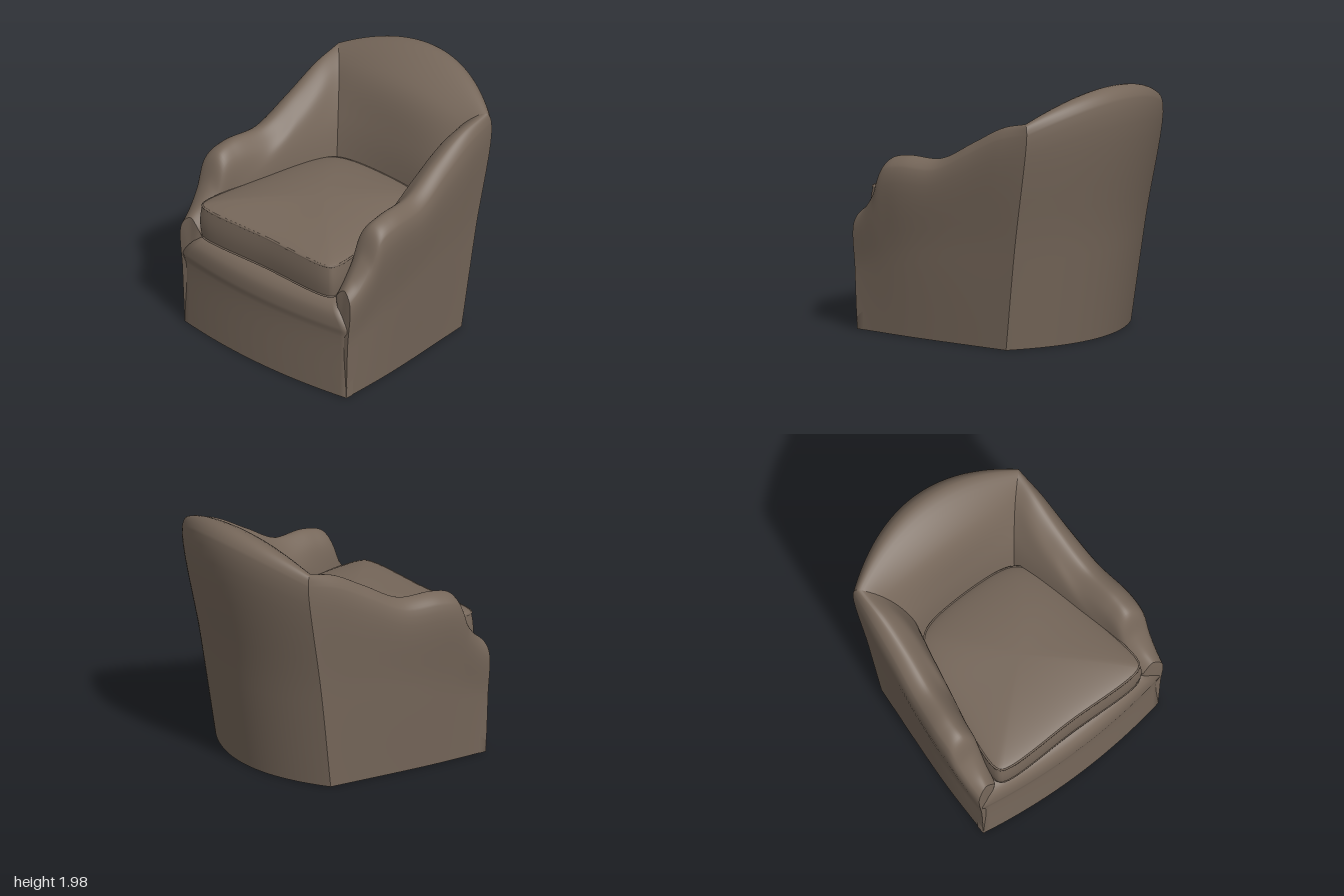
import * as THREE from 'three';
import { mergeVertices } from 'three/addons/utils/BufferGeometryUtils.js';

const fabric = new THREE.MeshStandardMaterial({ color: 0x76675a, side: THREE.DoubleSide });
fabric.name = 'brownFabric';

const V = (x, y, z) => new THREE.Vector3(x, y, z);
const rail = (...pts) => {
  const c = new THREE.CatmullRomCurve3(pts.map((p) => V(...p)));
  return (t) => c.getPoint(t);
};

// smooth surface sampled from fn(u, v) => Vector3
function grid(fn, nu, nv, mirror = false) {
  const pos = [], idx = [];
  for (let i = 0; i <= nu; i++)
    for (let j = 0; j <= nv; j++) {
      const p = fn(i / nu, j / nv);
      pos.push(mirror ? -p.x : p.x, p.y, p.z);
    }
  for (let i = 0; i < nu; i++)
    for (let j = 0; j < nv; j++) {
      const a = i * (nv + 1) + j, b = a + nv + 1;
      if (mirror) idx.push(a, b + 1, b, a, a + 1, b + 1);
      else idx.push(a, b, b + 1, a, b + 1, a + 1);
    }
  let g = new THREE.BufferGeometry();
  g.setAttribute('position', new THREE.Float32BufferAttribute(pos, 3));
  g.setIndex(idx);
  g = mergeVertices(g, 1e-5);
  g.computeVertexNormals();
  return g;
}

// cross-section through a set of lengthwise rails, and the skin over them
const section = (rails, t) => new THREE.CatmullRomCurve3(rails.map((r) => r(t)));
function skin(rails, nu, nv, mirror = false) {
  const rows = Array.from({ length: nu + 1 }, (_, i) => section(rails, i / nu));
  return grid((u, v) => rows[Math.round(u * nu)].getPoint(v), nu, nv, mirror);
}

// arm rails run from the front to the back corner; the roll follows the crest
const crest = rail([.8, .91, .9], [.79, .99, .81], [.79, 1.13, .71], [.8, 1.345, .61], [.8, 1.395, .45],
  [.77, 1.405, .15], [.755, 1.56, -.15], [.76, 1.715, -.45], [.77, 1.775, -.69]);
const armRails = [
  rail([.84, 0, .92], [.82, 0, .42], [.73, 0, -.46]),
  rail([.858, .45, .925], [.872, .65, .42], [.765, .8, -.575]),
  (t) => crest(t).add(V(.075 + .23 * t - .28 * t * t, -.08, .02 - .05 * t)),
  crest,
  (t) => crest(t).add(V(-.085 - .055 * t * t, -.075 - .03 * t * t, .14 * t ** 4)),
  rail([.7, .78, .88], [.64, 1.1, .45], [.49, 1.33, -.39]),
  rail([.69, .7, .86], [.62, .7, .43], [.42, .7, -.29]),
];

// back rails bow from corner to corner through these centre points [y, z]
const backCentre = [[0, -.7], [.8, -.825], [1.88, -.99], [1.975, -.885], [1.77, -.56], [1.38, -.42], [.7, -.34]];
const backRails = backCentre.map(([y, z], i) => (t) => {
  const s = 1 - 2 * t, c = armRails[i](1);
  return V(c.x * s, y + (c.y - y) * s * s, z + (c.z - z) * s * s);
});

// flat panel closing the front end of an arm
function armFront(mirror) {
  const edge = section(armRails, 0), middle = V(.78, .6, .92);
  return grid((u, v) => edge.getPoint(u).lerp(middle, v), 48, 1, mirror);
}

// bowed front panel: straight skirt, padded roll, deck; profile is half width, y, z offset
const bow = (x) => .92 + .075 * (1 - (x / .84) ** 2);
const apron = rail([.842, 0, 0], [.85, .52, 0], [.85, .6, .01], [.765, .72, -.012], [.69, .785, -.1], [.62, .785, -.5]);
function apronGeometry() {
  const n = 30;
  return grid((u, v) => {
    const p = apron(v);
    const x = p.x * THREE.MathUtils.clamp((u * n - n / 2) / (n / 2 - 1), -1, 1);
    const z = bow(x) + p.z;
    return V(x, p.y, u === 0 || u === 1 ? Math.min(.85, z) : z);
  }, n, 40);
}

// underside following the hem
function baseGeometry() {
  const pts = [];
  const n = 20;
  const along = (fn) => {
    for (let i = 0; i < n; i++) pts.push(fn(i / n));
  };
  along((t) => new THREE.Vector2(1.68 * t - .84, bow(1.68 * t - .84)));
  along((t) => new THREE.Vector2(armRails[0](t).x, armRails[0](t).z));
  along((t) => new THREE.Vector2(backRails[0](t).x, backRails[0](t).z));
  along((t) => new THREE.Vector2(-armRails[0](1 - t).x, armRails[0](1 - t).z));
  return new THREE.ShapeGeometry(new THREE.Shape(pts)).rotateX(Math.PI / 2);
}

// cushion plan [x, z], mirrored, then scaled about its middle ring by ring
const plan = [[.66, .925], [.695, .87], [.625, .3], [.53, -.18], [.42, -.32]];
const outline = new THREE.CatmullRomCurve3([
  V(0, 0, .935), ...plan.map(([x, z]) => V(x, 0, z)),
  V(0, 0, -.375), ...[...plan].reverse().map(([x, z]) => V(-x, 0, z)),
], true);
const cushion = (scale, height, rings) => grid((u, v) => {
  const p = outline.getPoint(u % 1), s = scale(v);
  return V(p.x * s, height(v), .3 + (p.z - .3) * s);
}, 96, rings);

export function createModel() {
  const chair = new THREE.Group();
  chair.name = 'armchair';
  const add = (name, geometry) => {
    const mesh = new THREE.Mesh(geometry, fabric);
    mesh.name = name;
    chair.add(mesh);
    return mesh;
  };

  // upholstered shell
  for (const side of ['left', 'right']) {
    add(side + 'Arm', skin(armRails, 64, 48, side === 'right'));
    add(side + 'ArmFront', armFront(side === 'right'));
  }
  add('backrest', skin(backRails, 48, 48));
  add('frontPanel', apronGeometry());
  add('underside', baseGeometry());

  // loose seat cushion: bulging side, domed top, flat bottom, piped edges
  add('cushionSide', cushion((v) => .99 + .018 * Math.sin(Math.PI * v), (v) => .805 + .27 * v, 10));
  add('cushionTop', cushion((v) => .99 * Math.cos(v * Math.PI / 2),
    (v) => 1.075 + .092 * Math.sin(v * Math.PI / 2) ** 1.4, 16));
  add('cushionBottom', cushion((v) => .99 * v, () => .805, 1));
  for (const y of [.812, 1.073]) {
    const piping = add('cushionPiping', new THREE.TubeGeometry(outline, 120, .009, 6, true));
    piping.scale.set(.99, 1, .99);
    piping.position.set(0, y, .003);
  }
  return chair;
}
